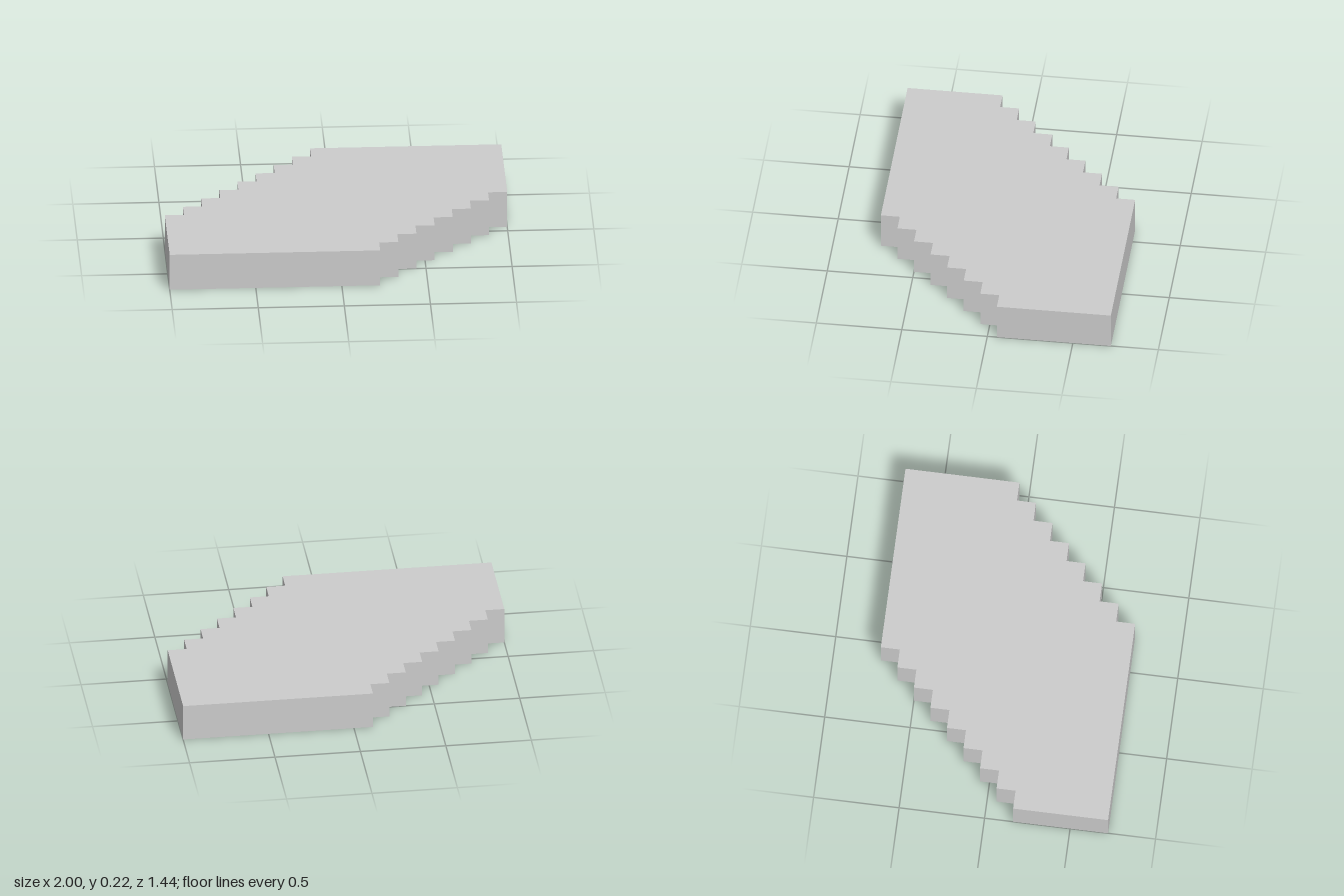
import * as THREE from 'three';

const U = 1 / 9; // one stair step

export function createModel() {
  const model = new THREE.Group();
  const material = new THREE.MeshStandardMaterial({ color: 0xcccccc, flatShading: true });

  // Plan outline in steps, as (x, -z), counter-clockwise from the front left corner
  const outline = [[-9, -6.5], [2, -6.5]];
  // stairs along the front right edge
  for (let i = 0; i < 7; i++) outline.push([2 + i, -5.5 + i], [3 + i, -5.5 + i]);
  outline.push([9, 6.5], [-1, 6.5]);
  // stairs along the back left edge
  for (let i = 0; i < 8; i++) outline.push([-1 - i, 5.5 - i], [-2 - i, 5.5 - i]);
  // the last tread already ends on the left side
  const shape = new THREE.Shape(outline.map(([x, y]) => new THREE.Vector2(x * U, y * U)));

  // Flat slab, two steps thick
  const geometry = new THREE.ExtrudeGeometry(shape, { depth: 2 * U, bevelEnabled: false });
  geometry.rotateX(-Math.PI / 2);
  const slab = new THREE.Mesh(geometry, material);
  slab.name = 'steppedSlab';
  model.add(slab);
  return model;
}
